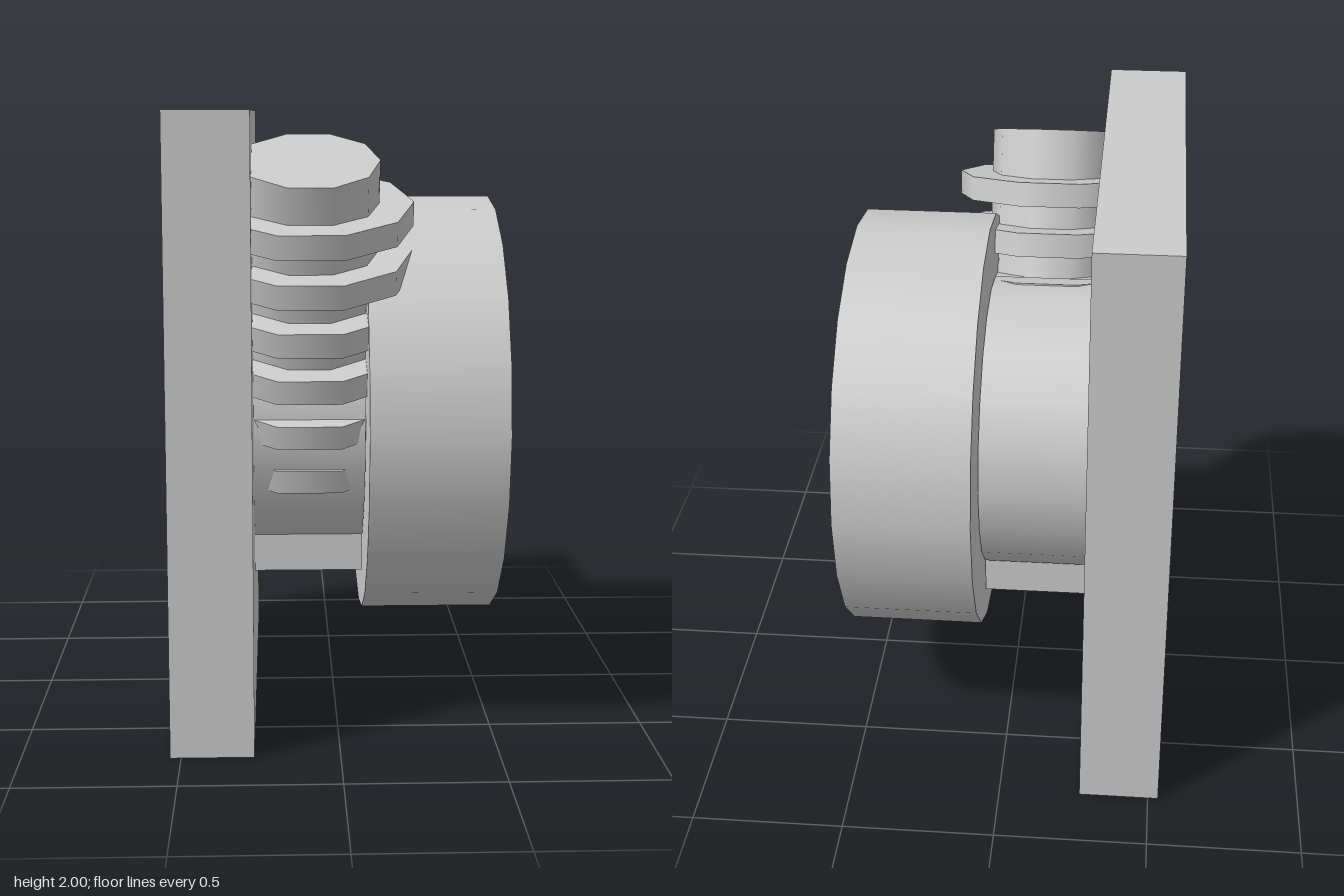
import * as THREE from 'three';

const material = new THREE.MeshStandardMaterial({ color: 0xcccccc });

export function createModel() {
  const model = new THREE.Group();

  const add = (name, geometry, x, y, z, parent = model) => {
    const mesh = new THREE.Mesh(geometry, material);
    mesh.name = name;
    mesh.position.set(x, y, z);
    parent.add(mesh);
    return mesh;
  };

  // Upright back plate
  add('plate', new THREE.BoxGeometry(0.264, 2, 1.555), -0.402, 1, -0.006);

  // Large wheel and the hub joining it to the plate
  const wheel = new THREE.CylinderGeometry(0.71, 0.71, 0.44, 20).rotateZ(-Math.PI / 2);
  add('wheel', wheel, 0.312, 1, -0.006);
  const hub = new THREE.CylinderGeometry(0.495, 0.495, 0.36, 20).rotateZ(-Math.PI / 2);
  add('hub', hub, -0.09, 1, -0.006);

  // Block under the hub
  add('block', new THREE.BoxGeometry(0.36, 0.23, 0.56), -0.09, 0.585, -0.006);

  // Ten-sided worm screw leaning forward, sunk into the hub
  const worm = new THREE.Group();
  worm.name = 'worm';
  worm.position.set(-0.09, 1.847, 0.553);
  worm.rotation.x = 0.381;
  model.add(worm);
  const decagon = (r, h) => new THREE.CylinderGeometry(r, r, h, 10, 1, false, Math.PI / 2);
  add('wormShaft', decagon(0.22, 1.25), 0, -0.625, 0, worm);

  // Thread discs, each slightly canted against the shaft
  for (let i = 0; i < 6; i++) {
    const disc = add('threadDisc', decagon(0.33, 0.08), 0, -0.186 - i * 0.168, -0.009, worm);
    disc.rotation.x = -0.105;
  }

  return model;
}
